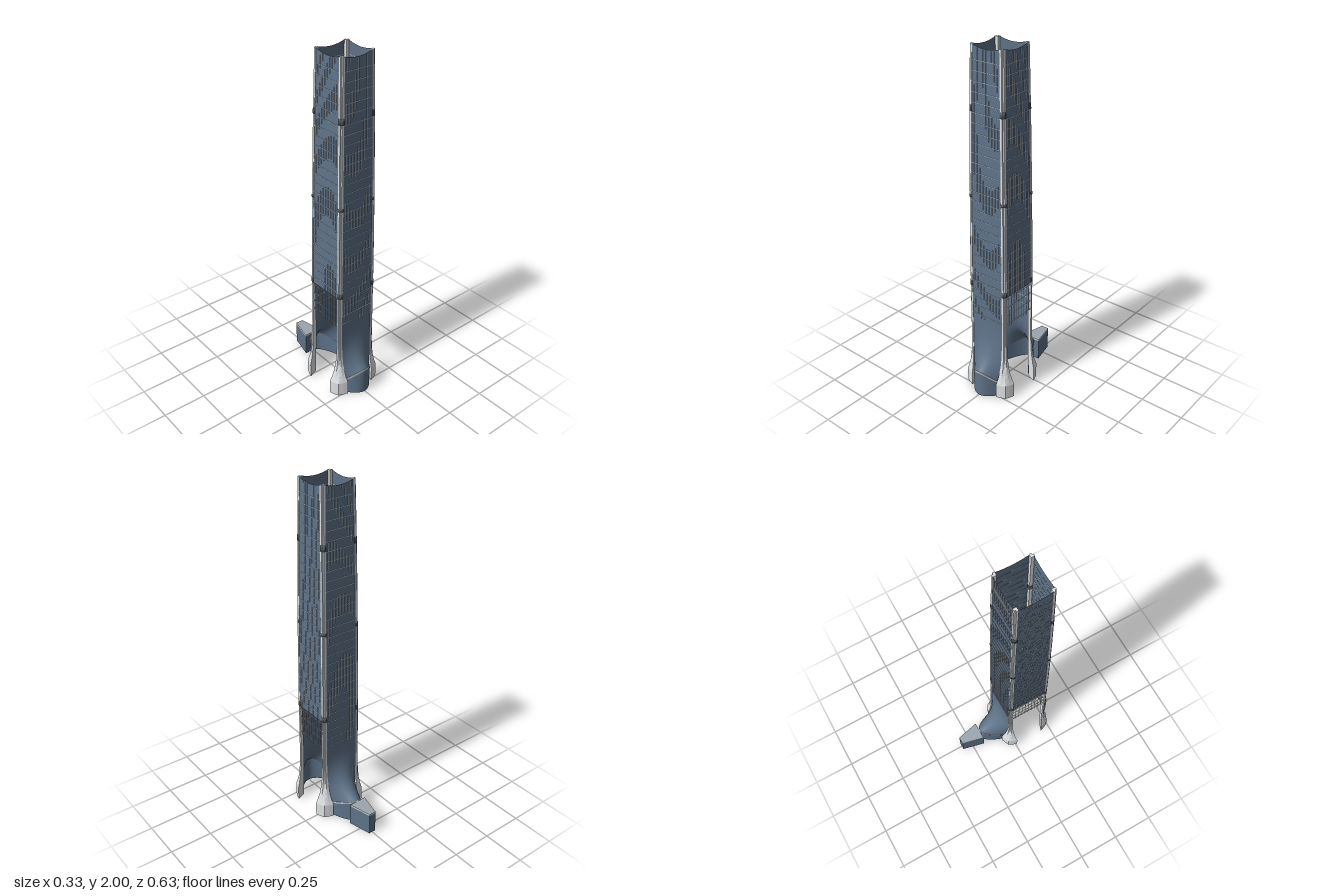
import * as THREE from 'three';

const mat = (name, color, flat = false) => {
  const m = new THREE.MeshStandardMaterial({ color, side: THREE.DoubleSide, flatShading: flat });
  m.name = name;
  return m;
};

const BASE = 0.46, TOP = 2, LOBBY = 0.65, CENTRE_Z = 0.1;

// Half width of the tapering shaft at height y
const half = (y) => 0.126 - 0.02 * Math.pow(Math.max(0, (y - BASE) / (TOP - BASE)), 1.7);
const paneHalf = (y) => half(y) - 0.018;
const GLASS_INSET = 0.003, FIN_DEPTH = 0.0015;

// Surface from a rule fn(u, v) -> [x, y, z]
function grid(fn, nu, nv) {
  const pos = [], idx = [];
  for (let j = 0; j <= nv; j++)
    for (let i = 0; i <= nu; i++) pos.push(...fn(i / nu, j / nv));
  for (let j = 0; j < nv; j++)
    for (let i = 0; i < nu; i++) {
      const a = j * (nu + 1) + i, b = a + nu + 1;
      idx.push(a, a + 1, b + 1, a, b + 1, b);
    }
  const g = new THREE.BufferGeometry();
  g.setAttribute('position', new THREE.Float32BufferAttribute(pos, 3));
  g.setIndex(idx);
  g.computeVertexNormals();
  return g;
}

// Corner section at height y: a splayed foot blending into a notched post
function cornerSection(y, grow = 0) {
  const o = half(y) + grow, i = half(y) - 0.02 - grow, n = o - 0.008;
  const post = [[i, o], [n, o], [n, n], [o, n], [o, i], [i, i], [i, o]];
  const foot = [[0.09, 0.164], [0.116, 0.155], [0.143, 0.143], [0.155, 0.116], [0.164, 0.09], [0.11, 0.11], [0.09, 0.164]];
  const t = THREE.MathUtils.clamp((y - 0.085) / (BASE - 0.085), 0, 1);
  const k = Math.pow(1 - t, 4);
  return post.map((p, j) => [p[0] + (foot[j][0] - p[0]) * k, p[1] + (foot[j][1] - p[1]) * k]);
}

// Closed loft of corner sections, with end caps drawn to the inner corner
function cornerLoft(heights, grow = 0) {
  const ys = [heights[0], ...heights, heights[heights.length - 1]];
  return grid((u, v) => {
    const r = Math.round(v * (ys.length - 1));
    const s = cornerSection(ys[r], grow);
    const p = s[r === 0 || r === ys.length - 1 ? 5 : Math.round(u * 6)];
    return [p[0], ys[r], p[1]];
  }, 6, ys.length - 1);
}

// Flared skirt: rim height and depth are parabolas across the face
function skirtRules(reach, curve, rimRise) {
  const edge = (s) => [s * 0.095, 0.085 + rimRise * (1 - s * s), reach - curve * (s * 0.095) ** 2];
  const flare = (u, v) => {
    const s = u * 2 - 1, [ex, ey, ez] = edge(s);
    const k = Math.pow(1 - v, 3);
    const flatZ = half(BASE) - GLASS_INSET;
    return [ex * k + s * paneHalf(BASE) * (1 - k), ey + (BASE - ey) * v, flatZ + (ez - flatZ) * k];
  };
  const wall = (u, v) => {
    const [ex, ey, ez] = edge(u * 2 - 1);
    return [ex, ey * v, ez];
  };
  // Narrow moulding: upright outer face, then a ledge back to the flare
  const rim = (u, v) => {
    const [ex, ey, ez] = edge(u * 2 - 1);
    return v === 1 ? [ex, ey + 0.003, ez - 0.002] : [ex * 1.02, ey + (v === 0 ? -0.005 : 0.003), ez + 0.002];
  };
  return { flare, wall, rim };
}

export function createModel() {
  const glass = mat('blue glass', 0x5f7389);
  const stone = mat('pale stone', 0xe2e6e9, true);
  const dark = mat('dark metal', 0x4a5459);
  const roof = mat('grey roof', 0x9ca6ae);

  const model = new THREE.Group();
  model.name = 'tower';
  const add = (parent, name, geo, material) => {
    const m = new THREE.Mesh(geo, material);
    m.name = name;
    parent.add(m);
    return m;
  };

  for (let k = 0; k < 4; k++) {
    const face = new THREE.Group();
    face.name = ['frontFace', 'leftFace', 'backFace', 'rightFace'][k];
    face.position.z = CENTRE_Z;
    face.rotation.y = k * Math.PI / 2;
    model.add(face);
    const closed = k % 2 === 0;

    // Glass wall with a dipped top edge; the side lobbies stay open
    const y0 = closed ? BASE : LOBBY;
    const topAt = (s) => TOP - 0.015 * (1 - s * s);
    add(face, 'glassWall', grid((u, v) => {
      const s = u * 2 - 1, y = y0 + (topAt(s) - y0) * v;
      return [s * paneHalf(y), y, half(y) - GLASS_INSET];
    }, 12, 16), glass);

    // Thin upright fins standing just proud of the glass
    for (let i = 0; i <= 10; i++) {
      const s = i / 5 - 1;
      add(face, 'fin', grid((u, v) => {
        const y = y0 + (topAt(s) - 0.005 - y0) * v;
        return [s * paneHalf(y), y, half(y) - GLASS_INSET + FIN_DEPTH * (1 - u)];
      }, 1, 16), stone);
      // Slim mullions across the open lobby
      if (!closed) {
        const mullion = add(face, 'lobbyMullion', new THREE.BoxGeometry(0.002, LOBBY - BASE, 0.003), stone);
        mullion.position.set(s * paneHalf(BASE), (LOBBY + BASE) / 2, half(BASE) - 0.002);
      }
    }

    // Pale floor strips
    for (let y = 0.48; y < 1.96; y += 0.0535) {
      const strip = add(face, 'floorStrip', new THREE.BoxGeometry(2 * paneHalf(y), 0.002, 0.003), stone);
      strip.position.set(0, y, half(y) - 0.0025);
    }

    // Corner post with splayed foot and dark clamps
    add(face, 'cornerPost', cornerLoft([0, 0.085, 0.115, 0.15, 0.2, 0.26, 0.35, BASE, 0.8, 1.1, 1.4, 1.6, 1.8, TOP]), stone);
    for (const [y, h] of [[0.67, 0.015], [1.2, 0.008], [1.68, 0.017]])
      add(face, 'postClamp', cornerLoft([y - h, y + h], 0.001), dark);

    // Flared entrance skirt on the front and back
    if (closed) {
      const skirt = k === 0 ? skirtRules(0.209, 8, 0.073) : skirtRules(0.276, 16.5, 0.05);
      add(face, 'skirtFlare', grid(skirt.flare, 24, 16), glass);
      add(face, 'skirtWall', grid(skirt.wall, 24, 1), glass);
      add(face, 'skirtRim', grid(skirt.rim, 24, 2), stone);
    }
  }

  // Tapered annex behind the back skirt
  const annexPlan = (grow) => new THREE.Shape([
    [-0.054, 0.178], [0.054, 0.178], [0.022 + grow, 0.315], [-0.022 - grow, 0.315],
  ].map((p) => new THREE.Vector2(...p)));
  const annex = add(model, 'annex', new THREE.ExtrudeGeometry(annexPlan(0), { depth: 0.129, bevelEnabled: false }), glass);
  annex.rotation.x = -Math.PI / 2;
  const annexRoof = add(model, 'annexRoof',
    new THREE.ExtrudeGeometry(annexPlan(0.0005), { depth: 0.009, bevelEnabled: false }), [roof, stone]);
  annexRoof.rotation.x = -Math.PI / 2;
  annexRoof.position.y = 0.129;

  return model;
}
